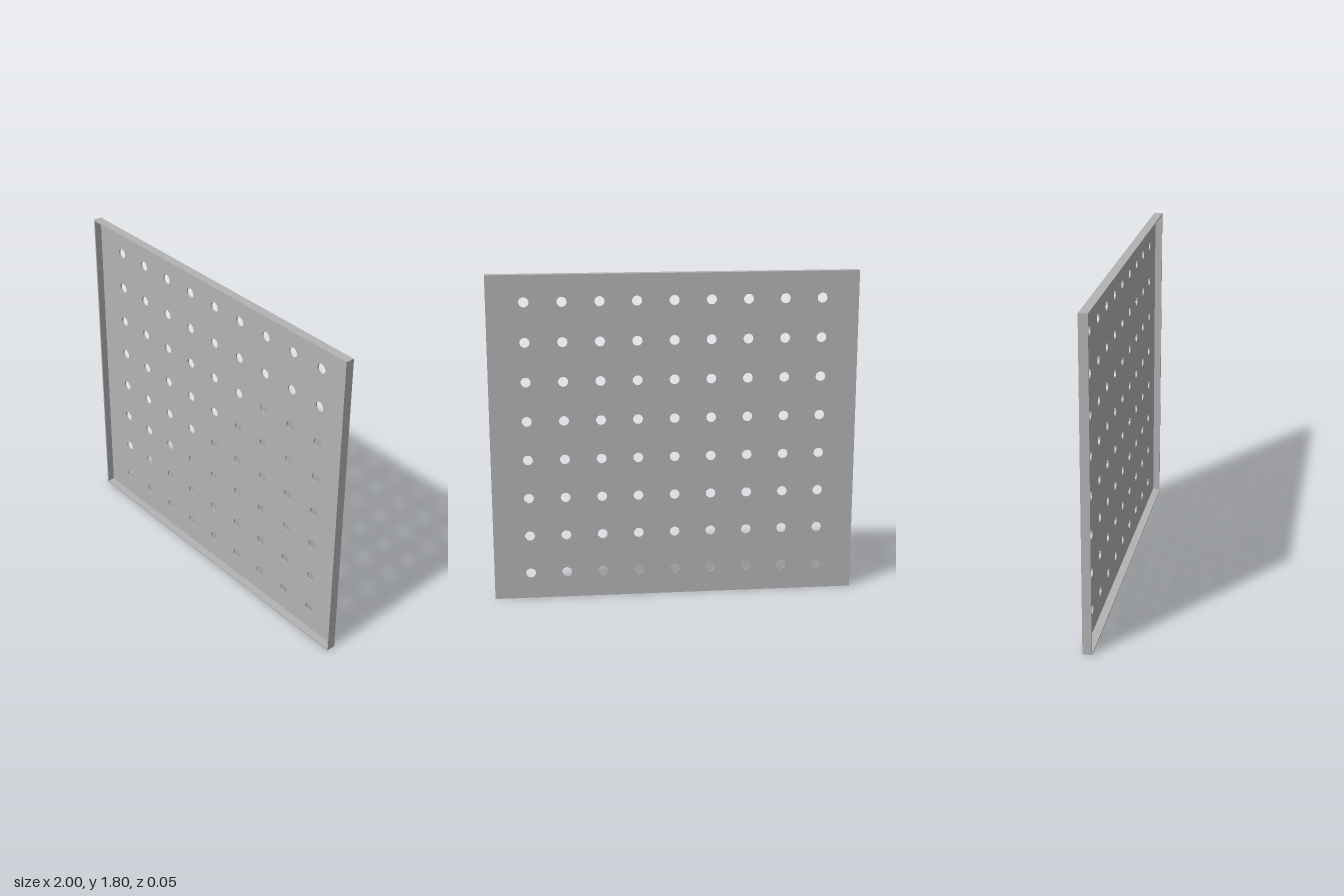
import * as THREE from 'three';

const W = 2, H = 1.8, T = 0.008;   // panel width, height and sheet thickness
const BACK = -0.026, LIP = 0.022, BOTTOM_LIP = 0.026;

export function createModel() {
  const group = new THREE.Group();
  const grey = new THREE.MeshStandardMaterial({ color: 0xb3b3b3 });

  // Perforated back sheet: 9 x 8 round holes
  const sheet = new THREE.Shape();
  sheet.moveTo(-W / 2, 0).lineTo(W / 2, 0).lineTo(W / 2, H).lineTo(-W / 2, H).closePath();
  for (let i = 0; i < 9; i++) {
    for (let j = 0; j < 8; j++) {
      const hole = new THREE.Path();
      hole.absarc(-0.8 + i * 0.2, H / 2 + (j - 3.5) * 0.2157, 0.027, 0, Math.PI * 2, true);
      sheet.holes.push(hole);
    }
  }
  const sheetGeometry = new THREE.ExtrudeGeometry(sheet, { depth: T, bevelEnabled: false, curveSegments: 24 });
  sheetGeometry.translate(0, 0, BACK);
  const panel = new THREE.Mesh(sheetGeometry, grey);
  panel.name = 'perforatedSheet';
  group.add(panel);

  // Folded flanges running forward from the sheet edges
  function flange(name, w, h, x, y, front) {
    const start = BACK + T;
    const mesh = new THREE.Mesh(new THREE.BoxGeometry(w, h, front - start), grey);
    mesh.position.set(x, y, (front + start) / 2);
    mesh.name = name;
    group.add(mesh);
  }
  flange('topFlange', W, T, 0, H - T / 2, LIP);
  flange('bottomFlange', W, T, 0, T / 2, BOTTOM_LIP);
  for (const [name, s] of [['leftFlange', 1], ['rightFlange', -1]]) {
    flange(name, T, H - 2 * T, s * (W - T) / 2, H / 2, LIP);
  }

  return group;
}
